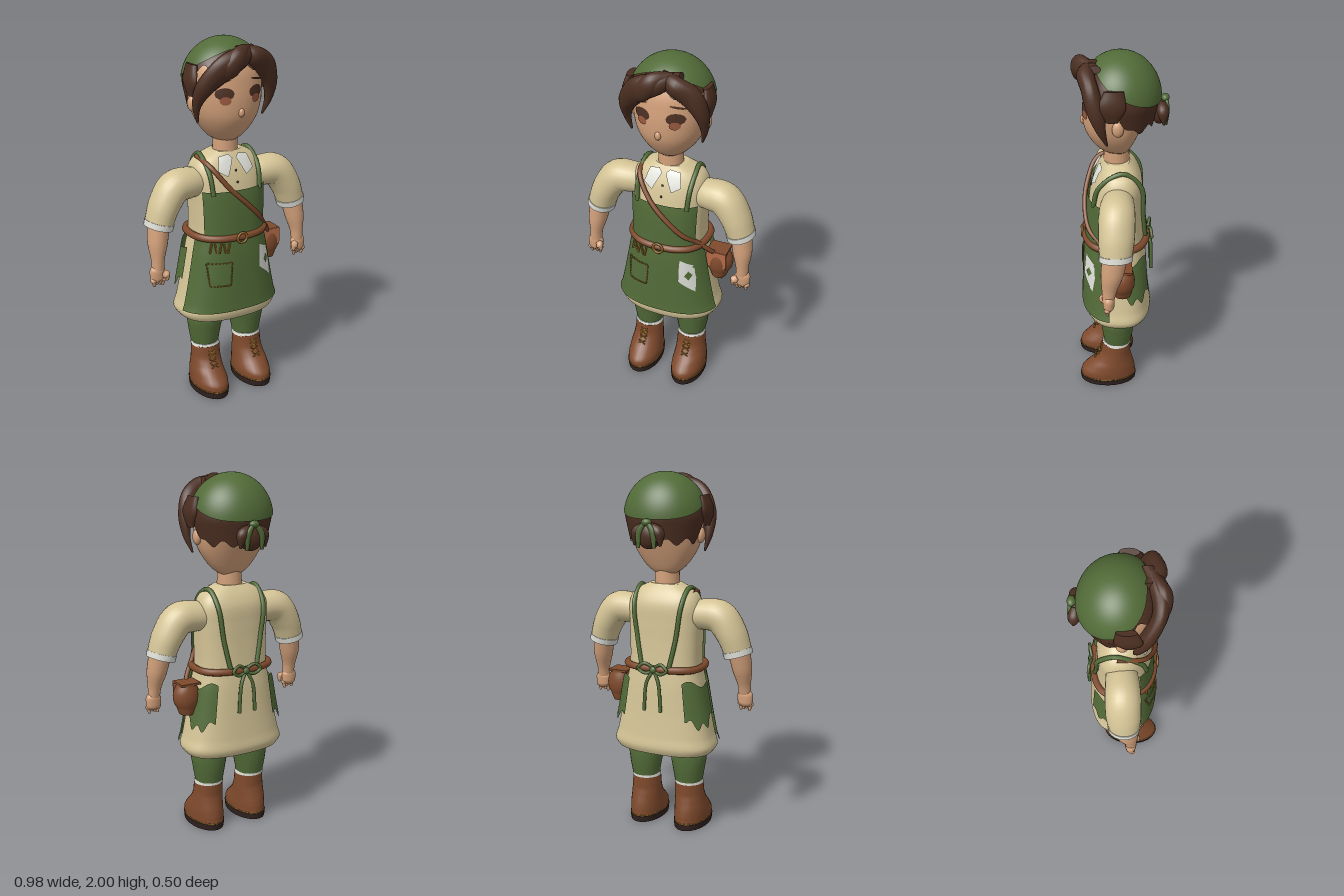
import * as THREE from 'three';

const mat = (name, color) => Object.assign(new THREE.MeshStandardMaterial({ color, side: THREE.DoubleSide }), { name });
const M = {
  skin: mat('skin', 0xd2a07a), cream: mat('cream cloth', 0xd4c496), green: mat('green cloth', 0x526b38),
  leather: mat('leather', 0x7f4a2c), hair: mat('dark hair', 0x4c2f22), white: mat('white linen', 0xdedfd8),
  sole: mat('dark sole', 0x30221f), gold: mat('gold thread', 0x8c6426), iris: mat('iris', 0x9a5a40),
  flap: mat('light leather', 0xb46a48),
};

// Smooth interpolation of [y, a, b, ...] rows at height y
function sample(rows, y) {
  let i = 0;
  while (i < rows.length - 2 && y > rows[i + 1][0]) i++;
  const slope = (j, k) => {
    const a = rows[Math.max(j - 1, 0)], b = rows[Math.min(j + 1, rows.length - 1)];
    return (b[k] - a[k]) / (b[0] - a[0]);
  };
  const p = rows[i], q = rows[i + 1], h = q[0] - p[0];
  const t = Math.min(1, Math.max(0, (y - p[0]) / h)), t2 = t * t, t3 = t2 * t;
  return p.map((v, k) => v * (2 * t3 - 3 * t2 + 1) + h * slope(i, k) * (t3 - 2 * t2 + t)
    + q[k] * (3 * t2 - 2 * t3) + h * slope(i + 1, k) * (t3 - t2));
}

// Surface from f(u, v) -> [x, y, z]; optionally closed around v, with end caps
function grid(nu, nv, f, closed = false, caps = false) {
  const pos = [], idx = [], cols = closed ? nv : nv + 1;
  for (let i = 0; i <= nu; i++) for (let j = 0; j < cols; j++) pos.push(...f(i / nu, j / nv));
  for (let i = 0; i < nu; i++) for (let j = 0; j < nv; j++) {
    const k = (j + 1) % cols, a = i * cols + j, b = a + cols, c = i * cols + k, d = c + cols;
    idx.push(a, b, c, c, b, d);
  }
  if (caps) for (const u of [0, 1]) {
    const base = pos.length / 3, mid = [0, 0, 0];
    for (let j = 0; j < nv; j++) {
      const p = f(u, j / nv);
      pos.push(...p);
      p.forEach((v, k) => { mid[k] += v / nv; });
    }
    pos.push(...mid);
    for (let j = 0; j < nv; j++) {
      const a = base + j, b = base + (j + 1) % nv;
      idx.push(base + nv, u ? b : a, u ? a : b);
    }
  }
  const g = new THREE.BufferGeometry();
  g.setAttribute('position', new THREE.Float32BufferAttribute(pos, 3));
  g.setIndex(idx);
  g.computeVertexNormals();
  return g;
}

// Tapered limb through points [x, y, z, radius, depth radius]
function limb(points, nu = 16, nv = 18) {
  const path = new THREE.CatmullRomCurve3(points.map(p => new THREE.Vector3(p[0], p[1], p[2])));
  const size = new THREE.CatmullRomCurve3(points.map(p => new THREE.Vector3(p[3], p[4] ?? p[3], 0)));
  const Z = new THREE.Vector3(0, 0, 1);
  return grid(nu, nv, (u, v) => {
    const c = path.getPoint(u), r = size.getPoint(u);
    const side = path.getTangent(u).cross(Z).normalize().multiplyScalar(Math.max(r.x, 0.002));
    const a = v * Math.PI * 2;
    return c.addScaledVector(side, Math.cos(a)).addScaledVector(Z, Math.sin(a) * Math.max(r.y, 0.002)).toArray();
  }, true, true);
}

const cord = (pts, r, closed = false, n = 48) =>
  new THREE.TubeGeometry(new THREE.CatmullRomCurve3(pts.map(p => new THREE.Vector3(...p)), closed), n, r, 8, closed);

// Rounded cross-section surface from rows [y, half width, front depth, back depth]
function form(rows, n) {
  const pw = v => Math.sign(v) * Math.abs(v) ** (2 / n);
  return {
    at(a, y, off = 0) {
      const [, rx, zf, zb] = sample(rows, y), c = Math.cos(a);
      return [(rx + off) * pw(Math.sin(a)), y, ((c > 0 ? zf : zb) + off) * pw(c)];
    },
    z(x, y, front = true) {
      const [, rx, zf, zb] = sample(rows, y);
      const k = Math.max(0, 1 - Math.min(1, Math.abs(x / rx)) ** n) ** (1 / n);
      return front ? zf * k : -zb * k;
    },
  };
}
const body = form([[0.465, 0.275, 0.195, 0.155], [0.5, 0.297, 0.208, 0.17], [0.56, 0.28, 0.206, 0.163],
  [0.7, 0.25, 0.2, 0.15], [0.85, 0.222, 0.193, 0.14], [0.95, 0.203, 0.183, 0.13], [1.1, 0.203, 0.176, 0.122],
  [1.2, 0.207, 0.165, 0.12], [1.3, 0.205, 0.14, 0.115], [1.365, 0.17, 0.11, 0.085], [1.405, 0.09, 0.085, 0.05]], 2.5);
const head = form([[1.455, 0.05, 0.075, 0.03], [1.48, 0.09, 0.11, 0.05], [1.53, 0.135, 0.152, 0.075],
  [1.6, 0.175, 0.187, 0.105], [1.68, 0.195, 0.197, 0.135], [1.76, 0.2, 0.193, 0.16], [1.85, 0.19, 0.175, 0.165],
  [1.92, 0.14, 0.13, 0.13], [1.97, 0.03, 0.03, 0.03]], 2.15);

const solid = (f, y0, y1, nu) => grid(nu, 64, (u, v) => f.at(v * Math.PI * 2, y1 + (y0 - y1) * u), true, true);
const patch = (a0, a1, top, bottom, off) => grid(20, 40, (u, v) => {
  const a = a0 + (a1 - a0) * v;
  return body.at(a, top(v) + (bottom(v) - top(v)) * u, off);
});
// Thin plate hugging the front of a form, outlined by counter-clockwise [x, y] points
function plate(f, pts, off) {
  const n = pts.length, cx = pts.reduce((s, p) => s + p[0], 0) / n, cy = pts.reduce((s, p) => s + p[1], 0) / n;
  return grid(4, n * 4, (u, v) => {
    const s = v * n, i = Math.floor(s) % n, t = s - Math.floor(s), p = pts[i], q = pts[(i + 1) % n];
    const x = cx + u * (p[0] + (q[0] - p[0]) * t - cx), y = cy + u * (p[1] + (q[1] - p[1]) * t - cy);
    return [x, y, f.z(x, y) + off];
  }, true);
}
const oval = (cx, cy, a, b, tilt = 0) => Array.from({ length: 12 }, (_, i) => {
  const t = i * Math.PI / 6, x = a * Math.cos(t), y = b * Math.sin(t);
  return [cx + x * Math.cos(tilt) - y * Math.sin(tilt), cy + x * Math.sin(tilt) + y * Math.cos(tilt)];
});
// Domed head covering that drops to a given angle from the crown
const dome = ([rx, ry, zf, zb], reach) => grid(24, 96, (u, v) => {
  const t = v * Math.PI * 2, a = u * reach(t), low = Math.max(0, a - Math.PI / 2);
  const k = low ? 1 - 0.22 * low : Math.sin(a), c = Math.cos(t);
  return [rx * k * Math.sin(t), 1.765 + (low ? -low : Math.cos(a)) * ry, (c > 0 ? zf : zb) * k * c];
}, true);

export function createModel() {
  const model = new THREE.Group();
  const add = (name, geo, m, p = [0, 0, 0], scale = [1, 1, 1], rot = [0, 0, 0]) => {
    const mesh = new THREE.Mesh(geo, m);
    mesh.name = name;
    mesh.position.set(...p); mesh.scale.set(...scale); mesh.rotation.set(...rot);
    model.add(mesh);
  };
  const ball = new THREE.SphereGeometry(1, 24, 16);
  const box = new THREE.BoxGeometry(1, 1, 1);

  // Head and face
  add('head', solid(head, 1.455, 1.97, 40), M.skin);
  add('neck', new THREE.CylinderGeometry(0.066, 0.07, 0.15, 28), M.skin, [0, 1.43, 0.02]);
  add('nose', ball, M.skin, [0, 1.635, 0.192], [0.017, 0.024, 0.016]);
  for (const s of [-1, 1]) {
    add('ear', ball, M.skin, [s * 0.197, 1.67, 0.02], [0.022, 0.042, 0.03]);
    add('eye', plate(head, oval(s * 0.09, 1.738, 0.047, 0.032), 0.004), M.hair);
    add('iris', plate(head, oval(s * 0.088, 1.703, 0.028, 0.022), 0.006), M.iris);
    add('eyebrow', plate(head, oval(s * 0.1, 1.8, 0.042, 0.006, -s * 0.2), 0.005), M.hair);
  }

  // Hair and cap
  add('hair', dome([0.222, 0.225, 0.203, 0.2], t => {
    const b = 1.645 + 0.215 * THREE.MathUtils.smoothstep(Math.cos(t), -0.3, 0.5) + 0.018 * Math.sin(11 * t);
    return b > 1.765 ? Math.acos((b - 1.765) / 0.225) : Math.PI / 2 + (1.765 - b) / 0.225;
  }), M.hair);
  add('cap', dome([0.228, 0.235, 0.212, 0.212], t => Math.PI / 2 - 0.92 * ((1 + Math.cos(t)) / 2) ** 1.6), M.green);
  const locks = [
    [[0.1, 1.95, 0.13, 0.02, 0.03], [0, 1.92, 0.185, 0.055, 0.05], [-0.1, 1.875, 0.195, 0.065, 0.04], [-0.185, 1.77, 0.14, 0.05, 0.045], [-0.21, 1.67, 0.1, 0.022, 0.025], [-0.195, 1.58, 0.08, 0.005, 0.006]],
    [[0, 1.95, 0.14, 0.02, 0.03], [0.08, 1.92, 0.175, 0.05, 0.045], [0.155, 1.865, 0.155, 0.06, 0.045], [0.205, 1.77, 0.13, 0.04, 0.045], [0.215, 1.67, 0.105, 0.02, 0.025], [0.195, 1.58, 0.075, 0.005, 0.006]],
    [[0.07, 1.96, 0.15, 0.015, 0.02], [-0.02, 1.93, 0.205, 0.05, 0.04], [-0.08, 1.87, 0.212, 0.05, 0.032], [-0.16, 1.8, 0.18, 0.01, 0.01]],
  ];
  locks.forEach(l => add('fringeLock', limb(l, 30), M.hair));
  for (const s of [-1, 1]) {
    add('sideHair', limb([[s * 0.205, 1.88, 0.04, 0.02, 0.05], [s * 0.222, 1.8, 0.05, 0.022, 0.07], [s * 0.217, 1.72, 0.05, 0.012, 0.03]]), M.hair);
    add('bunLock', limb([[s * 0.02, 1.72, -0.21, 0.03], [s * 0.06, 1.7, -0.215, 0.032], [s * 0.075, 1.63, -0.22, 0.006]]), M.hair);
    add('ribbonTail', limb([[s * 0.01, 1.75, -0.235, 0.012, 0.01], [s * 0.04, 1.7, -0.24, 0.016, 0.01], [s * 0.045, 1.62, -0.235, 0.01, 0.006]]), M.green);
  }
  add('bun', ball, M.hair, [0, 1.68, -0.2], [0.07, 0.07, 0.045]);
  add('ribbonKnot', ball, M.green, [0, 1.752, -0.23], [0.028, 0.02, 0.022]);

  // Tunic, collar and buttons
  add('tunic', solid(body, 0.465, 1.405, 60), M.cream);
  for (const s of [-1, 1]) {
    const flap = [[0.03, 1.395], [0.01, 1.375], [0.055, 1.285], [0.105, 1.315], [0.085, 1.385]].map(p => [s * p[0], p[1]]);
    add('collarFlap', plate(body, s > 0 ? flap : flap.reverse(), 0.014), M.white);
  }
  for (const y of [1.31, 1.25]) add('button', ball, M.sole, [0, y, body.z(0, y) + 0.004], [0.006, 0.007, 0.005]);

  // Apron with bib, side panels and shoulder straps
  add('apronBib', patch(-0.97, 0.97, () => 1.21, () => 0.93, 0.014), M.green);
  add('apronSkirt', patch(-1.32, 1.32, () => 0.95, () => 0.525, 0.013), M.green);
  for (const s of [-1, 1]) {
    const ragged = v => 0.64 + 0.02 * Math.sin(v * 17) + 0.05 * (v - 0.5) ** 2 * 4;
    add('sidePanel', patch(s * 1.5, s * 2.5, v => 0.875 - 0.02 * Math.sin(v * 6), ragged, 0.022), M.green);
    const on = (x, y, front) => [s * x, y, body.z(x, y, front) + (front ? 0.012 : -0.01)];
    add('apronStrap', cord([on(0.14, 1.19, true), on(0.148, 1.3, true), [s * 0.15, 1.375, 0.04], [s * 0.145, 1.385, -0.02],
      on(0.14, 1.3, false), on(0.115, 1.12, false), on(0.08, 0.95, false)], 0.013), M.green);
    add('bowLoop', cord([[0, 0.95, -0.152], [s * 0.05, 0.985, -0.165], [s * 0.085, 0.955, -0.17], [s * 0.045, 0.93, -0.165]], 0.009, true), M.green);
    add('bowTail', cord([[0, 0.95, -0.155], [s * 0.035, 0.88, -0.168], [s * 0.05, 0.72, -0.172]], 0.01), M.green);
  }
  add('bowKnot', ball, M.green, [0, 0.95, -0.158], [0.02, 0.02, 0.016]);

  // Belt, buckle, cross strap and pouch
  add('belt', cord(Array.from({ length: 32 }, (_, i) => body.at(i * Math.PI / 16, 0.95, 0.012)), 0.02, true, 96), M.leather);
  add('buckle', new THREE.TorusGeometry(0.028, 0.007, 8, 24), M.gold, [0, 0.95, 0.213]);
  const across = [[-0.14, 1.34], [-0.06, 1.23], [0.04, 1.13], [0.13, 1.04], [0.185, 0.98]];
  add('crossStrap', cord([[-0.16, 1.375, -0.01], ...across.map(([x, y]) => [x, y, body.z(x, y) + 0.022]), [0.25, 0.9, 0.06], [0.275, 0.86, 0.02]], 0.013), M.leather);
  add('pouch', limb([[0.285, 0.89, 0, 0.045, 0.05], [0.285, 0.87, 0, 0.054, 0.054], [0.285, 0.75, 0, 0.054, 0.054], [0.285, 0.71, 0, 0.04, 0.045]], 20, 24), M.leather);
  add('pouchFlap', box, M.flap, [0.28, 0.84, 0.053], [0.115, 0.1, 0.009]);
  add('pouchLid', box, M.leather, [0.28, 0.885, 0], [0.115, 0.012, 0.105]);
  add('pouchClasp', ball, M.gold, [0.275, 0.8, 0.059], [0.009, 0.009, 0.005]);

  // Patch, stitched pocket and small tools
  add('patch', plate(body, [[0.12, 0.885], [0.115, 0.75], [0.205, 0.675], [0.2, 0.835]], 0.021), M.white);
  add('patchMark', plate(body, [[0.166, 0.815], [0.148, 0.785], [0.17, 0.757], [0.187, 0.787]], 0.025), M.green);
  const corners = [[-0.19, 0.815], [-0.18, 0.685], [-0.07, 0.685], [-0.06, 0.815]];
  add('pocket', plate(body, corners, 0.018), M.green);
  corners.forEach((p, i) => {
    const q = corners[(i + 1) % 4], turn = Math.atan2(q[1] - p[1], q[0] - p[0]);
    for (let k = 0; k < 7; k++) {
      const t = (k + 0.5) / 7, x = p[0] + (q[0] - p[0]) * t, y = p[1] + (q[1] - p[1]) * t;
      add('pocketStitch', box, M.gold, [x, y, body.z(x, y) + 0.02], [0.013, 0.006, 0.006], [0, 0, turn]);
    }
  });
  for (let i = 0; i < 5; i++) {
    const x = -0.165 + i * 0.022;
    add('hangingTool', box, M.gold, [x, 0.9, body.z(x, 0.9) + 0.022], [0.008, 0.055, 0.01], [0, 0, i % 2 ? 0.2 : -0.2]);
  }

  for (const s of [-1, 1]) {
    const part = (name, pts, m, nu) => add(name, limb(pts.map(p => [s * p[0], ...p.slice(1)]), nu, 24), m);
    // Arms and hands
    part('sleeve', [[0.15, 1.235, 0.015, 0.075, 0.08], [0.23, 1.245, 0.025, 0.085, 0.09], [0.31, 1.235, 0.03, 0.09, 0.095],
      [0.375, 1.15, 0.035, 0.083, 0.095], [0.413, 1.05, 0.04, 0.075, 0.085]], M.cream, 28);
    part('cuff', [[0.407, 1.064, 0.04, 0.08, 0.09], [0.416, 1.032, 0.04, 0.078, 0.088]], M.white, 3);
    part('forearm', [[0.415, 1.06, 0.045, 0.06, 0.068], [0.432, 0.95, 0.06, 0.053, 0.06], [0.44, 0.86, 0.075, 0.035, 0.04], [0.442, 0.81, 0.08, 0.033, 0.033]], M.skin);
    part('palm', [[0.442, 0.83, 0.08, 0.028, 0.024], [0.445, 0.8, 0.08, 0.044, 0.032], [0.445, 0.76, 0.08, 0.042, 0.03], [0.443, 0.74, 0.08, 0.025, 0.018]], M.skin);
    for (let i = 0; i < 4; i++)
      part('finger', [[0.418 + i * 0.018, 0.77, 0.085, 0.011], [0.418 + i * 0.018, 0.74, 0.088, 0.011], [0.42 + i * 0.016, 0.715 + 0.006 * (i % 3), 0.085, 0.006]], M.skin, 8);
    part('thumb', [[0.425, 0.8, 0.1, 0.014], [0.403, 0.775, 0.11, 0.014], [0.402, 0.75, 0.11, 0.007]], M.skin, 8);

    // Legs, socks and boots
    part('trouserLeg', [[0.125, 0.54, 0.025, 0.09, 0.09], [0.133, 0.43, 0.025, 0.103, 0.096], [0.135, 0.36, 0.022, 0.093, 0.09], [0.135, 0.28, 0.022, 0.079, 0.078]], M.green, 20);
    part('sockTrim', [[0.135, 0.284, 0.025, 0.08, 0.08], [0.135, 0.266, 0.028, 0.083, 0.083]], M.white, 2);
    part('boot', [[0.135, 0.27, 0.03, 0.081, 0.081], [0.136, 0.2, 0.035, 0.084, 0.086], [0.138, 0.15, 0.046, 0.088, 0.108],
      [0.14, 0.11, 0.062, 0.093, 0.135], [0.14, 0.07, 0.077, 0.096, 0.157], [0.14, 0.035, 0.078, 0.095, 0.161]], M.leather, 28);
    part('soleStitch', [[0.14, 0.042, 0.078, 0.0965, 0.1625], [0.14, 0.034, 0.078, 0.0965, 0.1625]], M.gold, 1);
    part('sole', [[0.14, 0.036, 0.078, 0.099, 0.165], [0.14, 0, 0.078, 0.095, 0.161]], M.sole, 2);
    for (let i = 0; i < 4; i++) for (const t of [-0.5, 0.5])
      add('lace', box, M.gold, [s * 0.137, 0.235 - i * 0.023, 0.116 + 0.004 * i * i], [0.045, 0.006, 0.008], [-0.3, 0, t]);
  }
  return model;
}
